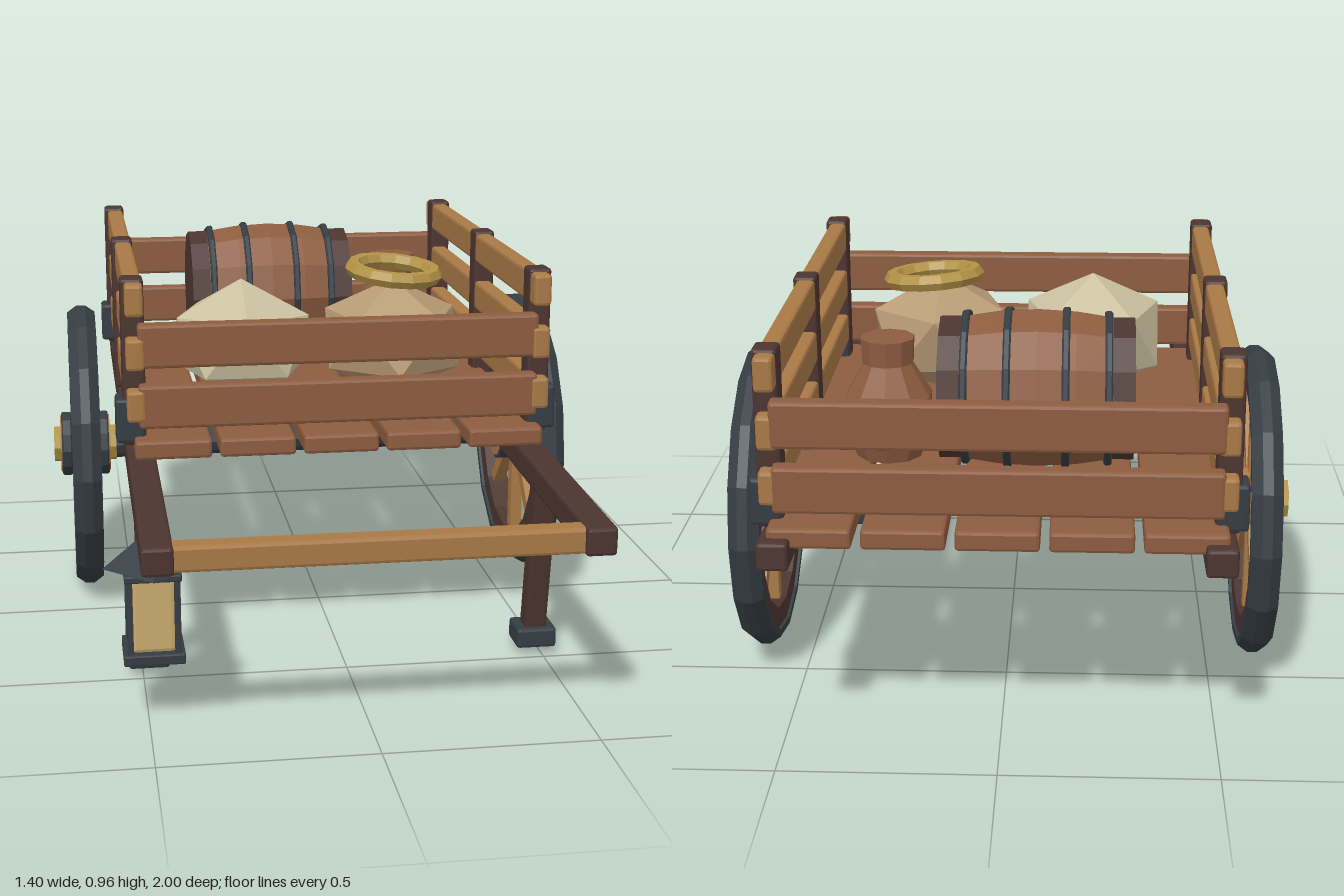
import * as THREE from 'three';
import { RoundedBoxGeometry } from 'three/addons/geometries/RoundedBoxGeometry.js';

const mat = (name, color) => {
  const m = new THREE.MeshStandardMaterial({ color });
  m.name = name;
  return m;
};

// Faceted normals for the low-poly look
function flat(g) {
  const f = g.index ? g.toNonIndexed() : g;
  f.computeVertexNormals();
  return f;
}

export function createModel() {
  const darkWood = mat('dark wood', 0x4c3530);
  const lightWood = mat('light wood', 0xa97946);
  const midWood = mat('brown wood', 0x8d5c3f);
  const iron = mat('iron', 0x353d43);
  const brass = mat('brass', 0xb39346);
  const glass = mat('lamp glass', 0xc9aa6c);
  const paleCloth = mat('pale sackcloth', 0xcbc1a0);
  const tanCloth = mat('tan sackcloth', 0xb99b76);

  const cart = new THREE.Group();
  cart.name = 'handcart';

  const add = (parent, name, geo, material, x = 0, y = 0, z = 0) => {
    const m = new THREE.Mesh(flat(geo), material);
    m.name = name;
    m.position.set(x, y, z);
    parent.add(m);
    return m;
  };
  // Chamfered beam
  const beam = (parent, name, material, [w, h, d], [x, y, z], bevel = 0.008) =>
    add(parent, name, new RoundedBoxGeometry(w, h, d, 1, bevel), material, x, y, z);
  // Turned part with its axis along x; profile is [radius, axial] pairs
  const turned = (profile, sides) =>
    new THREE.LatheGeometry(profile.map(p => new THREE.Vector2(...p)), sides).rotateZ(-Math.PI / 2);
  // Closed ring with bevelled outer edge
  const ring = (rIn, rOut, half, bevel, sides) => turned([
    [rIn, -half], [rOut - bevel, -half], [rOut, -half + bevel], [rOut, half - bevel],
    [rOut - bevel, half], [rIn, half], [rIn, -half]], sides);

  // Bed planks
  for (let i = -2; i <= 2; i++)
    beam(cart, 'floorPlank', midWood, [0.185, 0.047, 1.38], [i * 0.205, 0.555, -0.275]);

  for (const s of [-1, 1]) {
    // Sloping shaft
    beam(cart, 'shaft', darkWood, [0.07, 0.066, 2], [s * 0.485, 0.499, 0]).rotation.x = 0.0265;

    // Prop leg and foot
    beam(cart, 'propLeg', darkWood, [0.056, 0.43, 0.056], [s * 0.485, 0.262, 0.474]).rotation.x = 0.16;
    beam(cart, 'foot', iron, [0.1, 0.052, 0.095], [s * 0.485, 0.049, 0.44]);

    // Side posts with iron shoes on the corners
    for (const z of [0.327, -0.273, -0.87]) {
      beam(cart, 'sidePost', darkWood, [0.056, 0.41, 0.064], [s * 0.5, 0.76, z]);
      if (z !== -0.273) beam(cart, 'postShoe', iron, [0.07, 0.11, 0.074], [s * 0.511, 0.617, z]);
    }
    // Side rails
    for (const y of [0.918, 0.787, 0.66])
      beam(cart, 'sideRail', lightWood, [0.044, 0.078, 1.34], [s * 0.497, y, -0.27]);

    // Axle bracket
    beam(cart, 'axleBracket', darkWood, [0.06, 0.1, 0.1], [s * 0.485, 0.455, -0.275]);

    // Wheel
    const wheel = new THREE.Group();
    wheel.name = s > 0 ? 'leftWheel' : 'rightWheel';
    wheel.position.set(s * 0.615, 0.393, -0.275);
    wheel.rotation.y = s > 0 ? 0 : Math.PI;
    cart.add(wheel);
    add(wheel, 'tyre', turned([[0.352, -0.037], [0.37, -0.037], [0.388, -0.012], [0.388, 0.012],
      [0.37, 0.037], [0.352, 0.037], [0.352, -0.037]], 16), iron);
    add(wheel, 'rim', ring(0.297, 0.356, 0.03, 0.006, 16), darkWood);
    for (let i = 0; i < 8; i++) {
      const a = i * Math.PI / 4;
      const spoke = add(wheel, 'spoke', new THREE.BoxGeometry(0.032, 0.26, 0.036), lightWood,
        0, Math.cos(a) * 0.185, Math.sin(a) * 0.185);
      spoke.rotation.x = a;
    }
    add(wheel, 'hub', new THREE.CylinderGeometry(0.08, 0.08, 0.135, 12).rotateZ(Math.PI / 2), lightWood);
    for (const x of [-0.05, 0.05])
      add(wheel, 'hubBand', ring(0.074, 0.09, 0.014, 0.004, 12), iron, x);
    add(wheel, 'hubCap', new THREE.CylinderGeometry(0.05, 0.05, 0.17, 8).rotateZ(Math.PI / 2), brass);
  }

  // Axle and front crossbar
  add(cart, 'axle', new THREE.CylinderGeometry(0.043, 0.043, 1.14, 10).rotateZ(Math.PI / 2), iron, 0, 0.393, -0.275);
  beam(cart, 'pullBar', lightWood, [0.92, 0.06, 0.056], [0, 0.472, 0.957]);

  // End boards
  for (const z of [0.375, -0.92])
    for (const y of [0.806, 0.657])
      beam(cart, 'endBoard', midWood, [0.98, 0.107, 0.044], [0, y, z]);

  // Barrel on its side
  const barrel = new THREE.Group();
  barrel.name = 'barrel';
  barrel.position.set(-0.075, 0.768, -0.535);
  cart.add(barrel);
  add(barrel, 'barrelStaves', turned([[0.168, -0.18], [0.182, -0.09], [0.187, 0], [0.182, 0.09], [0.168, 0.18]], 12), midWood);
  for (const s of [-1, 1]) {
    add(barrel, 'barrelEnd', new THREE.CylinderGeometry(0.169, 0.169, 0.05, 12).rotateZ(Math.PI / 2), darkWood, s * 0.2);
    for (const [x, r] of [[0.165, 0.184], [0.067, 0.193]])
      add(barrel, 'barrelHoop', ring(r - 0.025, r, 0.009, 0.004, 12), iron, s * x);
  }

  // Clay pot with a stopper
  const pot = [[0, 0], [0.08, 0], [0.105, 0.07], [0.105, 0.15], [0.06, 0.225], [0.052, 0.24]];
  add(cart, 'pot', new THREE.LatheGeometry(pot.map(p => new THREE.Vector2(...p)), 10), midWood, 0.28, 0.58, -0.48);
  add(cart, 'potStopper', new THREE.CylinderGeometry(0.065, 0.062, 0.06, 10), midWood, 0.28, 0.84, -0.48);

  // Sacks: faceted balls with a point at the top
  const sack = (name, material, x, y, z, h, turn) => {
    const g = new THREE.IcosahedronGeometry(0.2, 0).rotateZ(Math.atan(2 / (1 + Math.sqrt(5))));
    add(cart, name, g.rotateY(turn).scale(1, h, 1), material, x, y, z);
  };
  sack('paleSack', paleCloth, -0.205, 0.738, 0.02, 0.8, 0.3);
  sack('tanSack', tanCloth, 0.19, 0.735, 0.03, 0.78, 0.9);

  // Brass hoop resting on the tan sack
  const hoop = add(cart, 'brassHoop', new THREE.TorusGeometry(0.108, 0.022, 6, 14).rotateX(Math.PI / 2), brass, 0.205, 0.9, -0.03);
  hoop.rotation.set(0.08, 0, -0.08);

  // Lantern hanging below the right shaft
  const lantern = new THREE.Group();
  lantern.name = 'lantern';
  lantern.position.set(-0.485, 0, 0.72);
  cart.add(lantern);
  beam(lantern, 'lanternBase', iron, [0.14, 0.026, 0.14], [0, 0.168, 0], 0.004);
  beam(lantern, 'lanternGlass', glass, [0.1, 0.18, 0.1], [0, 0.268, 0], 0.01);
  beam(lantern, 'lanternTopPlate', iron, [0.13, 0.018, 0.13], [0, 0.36, 0], 0.004);
  for (const x of [-0.054, 0.054])
    for (const z of [-0.054, 0.054])
      add(lantern, 'lanternPost', new THREE.BoxGeometry(0.014, 0.18, 0.014), iron, x, 0.268, z);
  add(lantern, 'lanternRoof', new THREE.CylinderGeometry(0.028, 0.112, 0.07, 4), iron, 0, 0.403, 0);
  add(lantern, 'lanternHook', new THREE.CylinderGeometry(0.015, 0.015, 0.03, 6), iron, 0, 0.448, 0);

  return cart;
}
